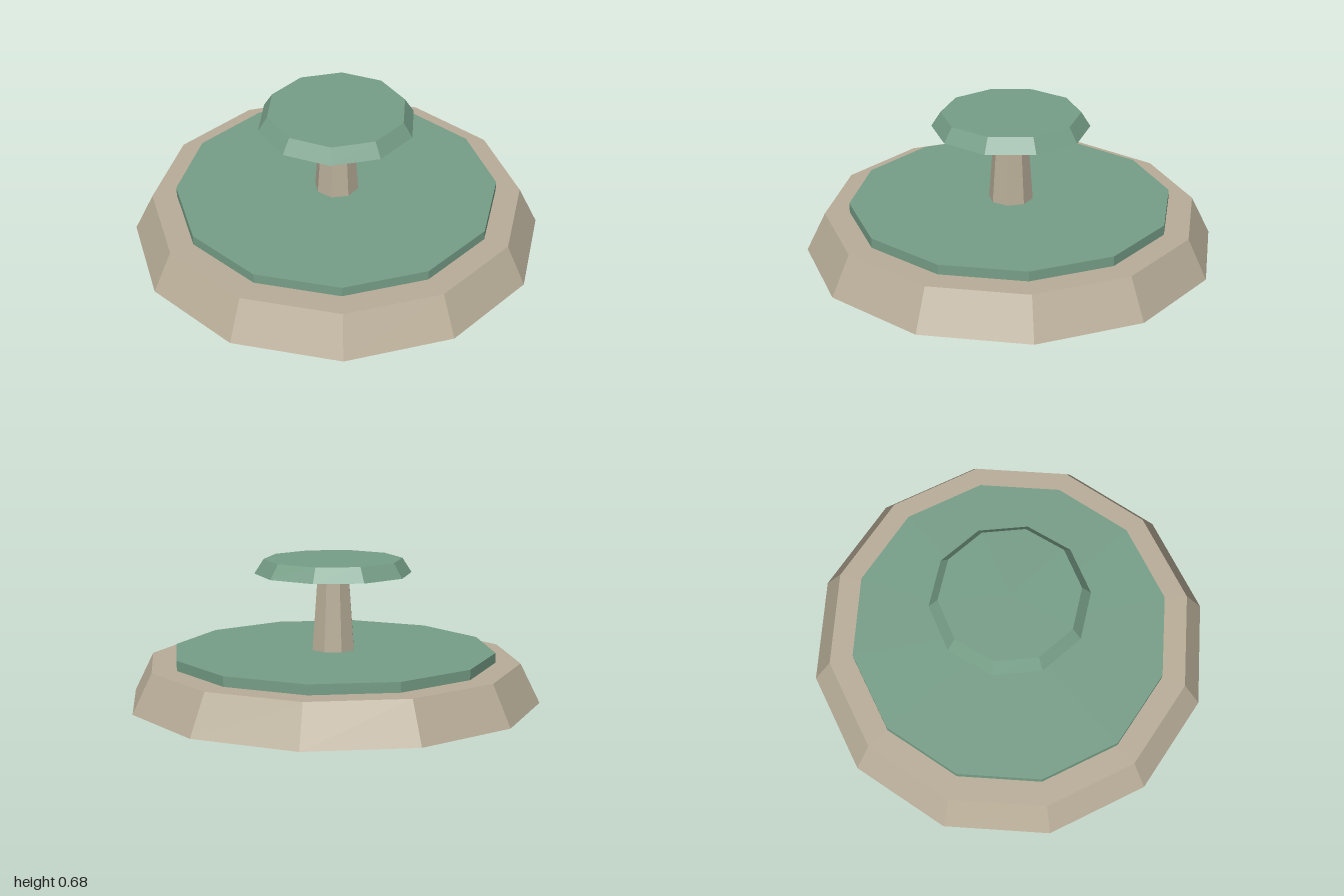
import * as THREE from 'three';

export function createModel() {
  const group = new THREE.Group();
  const stone = new THREE.MeshStandardMaterial({ color: 0xb8ad98, flatShading: true });
  stone.name = 'stone';
  const green = new THREE.MeshStandardMaterial({ color: 0x769e87, flatShading: true });
  green.name = 'green';

  // Faceted, optionally tapered tier between two heights
  function tier(name, topRadius, bottomRadius, y0, y1, sides, material) {
    const geometry = new THREE.CylinderGeometry(topRadius, bottomRadius, y1 - y0, sides);
    const mesh = new THREE.Mesh(geometry, material);
    mesh.name = name;
    mesh.position.y = (y0 + y1) / 2;
    group.add(mesh);
  }

  tier('base', 0.905, 1, 0, 0.19, 12, stone);
  tier('basePlate', 0.785, 0.785, 0.19, 0.238, 12, green);
  tier('stem', 0.08, 0.108, 0.238, 0.61, 8, stone);
  tier('cap', 0.335, 0.38, 0.61, 0.68, 10, green);

  return group;
}
